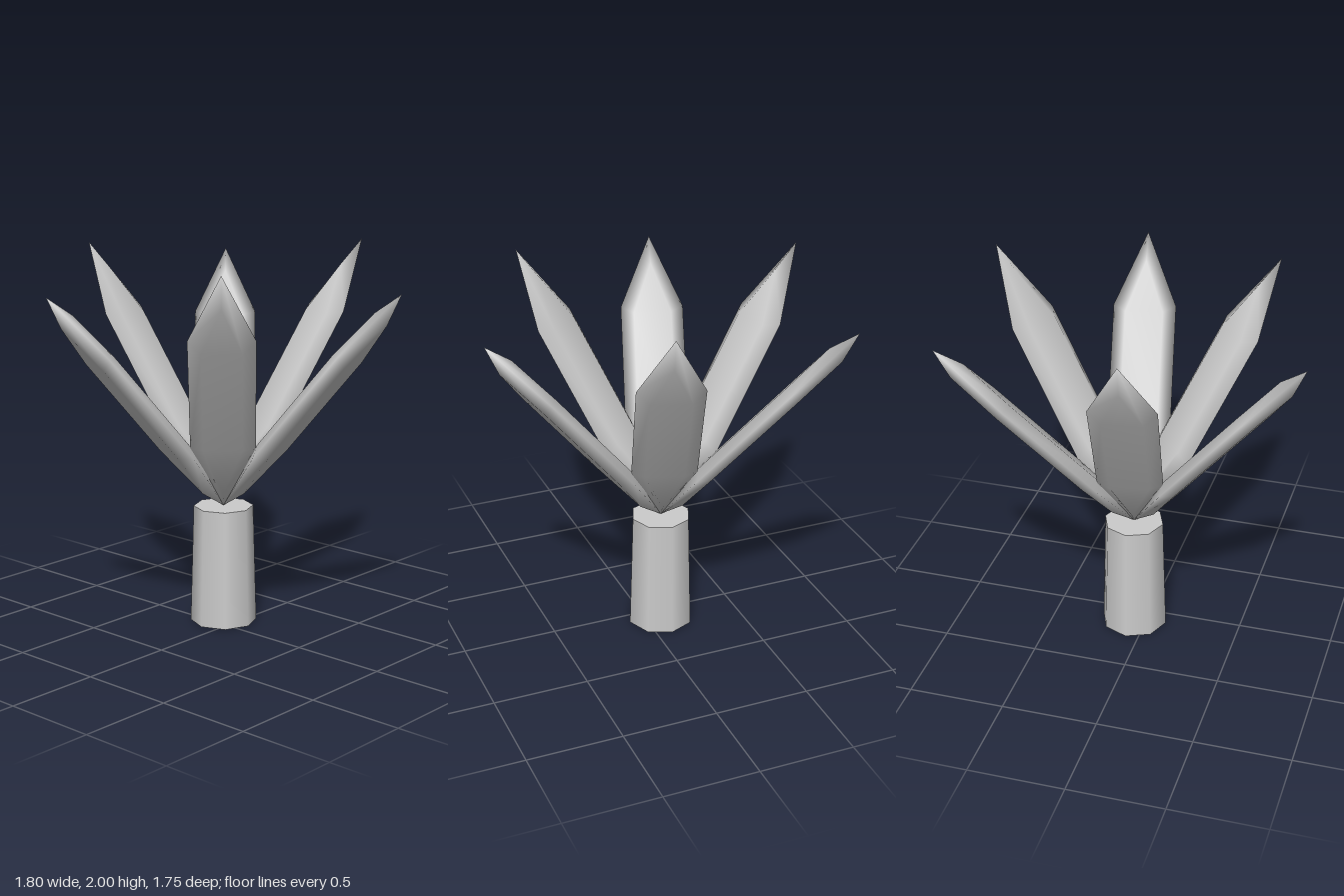
import * as THREE from 'three';

const material = new THREE.MeshStandardMaterial({ color: 0xcccccc, side: THREE.DoubleSide });
const BASE = new THREE.Vector3(-0.085, 0.635, -0.068);

// Tip of each leaf, going round the crown
const TIPS = [
  [-0.77, 1.87, -0.845],
  [0.185, 2.0, -0.875],
  [0.9, 1.84, -0.27],
  [0.465, 1.975, 0.555],
  [-0.4, 1.82, 0.87],
  [-0.905, 1.98, 0.1],
];

// Six-cornered outline: root, right side, tip, left side
const hexagon = (w, root, low, high, tip, z) => [
  [0, root, z], [w, low, z], [w, high, z], [0, tip, z], [-w, high, z], [-w, low, z],
];

// Pillow-shaped leaf along +y: a thin rim with a raised plate on both sides
function leafGeometry(length) {
  const W = 0.168, T = 0.045;
  const rings = [
    hexagon(W, 0, 0.27, 0.74, 1, 0),
    hexagon(W * 0.6, 0.09, 0.29, 0.71, 0.89, T),
    hexagon(W * 0.6, 0.09, 0.29, 0.71, 0.89, -T),
  ];
  const positions = rings.flat().flatMap(([x, y, z]) => [x, y * length, z]);
  const index = [];
  for (const side of [1, 2]) {
    const o = side * 6;
    const tri = (a, b, c) => (side === 1 ? index.push(a, b, c) : index.push(a, c, b));
    // Bevel between rim and plate
    for (let i = 0; i < 6; i++) {
      const j = (i + 1) % 6;
      tri(i, j, o + j);
      tri(i, o + j, o + i);
    }
    // Plate
    tri(o, o + 1, o + 5);
    tri(o + 1, o + 2, o + 4);
    tri(o + 1, o + 4, o + 5);
    tri(o + 2, o + 3, o + 4);
  }
  const g = new THREE.BufferGeometry();
  g.setAttribute('position', new THREE.Float32BufferAttribute(positions, 3));
  g.setIndex(index);
  g.computeVertexNormals();
  return g;
}

export function createModel() {
  const model = new THREE.Group();
  model.name = 'leafyPlant';

  // Tapered stem, open underneath
  const stem = new THREE.Group();
  stem.name = 'stem';
  const wall = new THREE.Mesh(new THREE.CylinderGeometry(0.158, 0.176, 0.635, 8, 1, true), material);
  wall.name = 'stemWall';
  wall.position.y = 0.3175;
  const cap = new THREE.Mesh(new THREE.CircleGeometry(0.158, 8), material);
  cap.name = 'stemTop';
  cap.rotation.x = -Math.PI / 2;
  cap.position.y = 0.635;
  stem.add(wall, cap);
  stem.position.set(BASE.x, 0, BASE.z);
  model.add(stem);

  // Leaves fanning out from the top of the stem
  const leaves = new THREE.Group();
  leaves.name = 'leaves';
  TIPS.forEach((tip, i) => {
    const axis = new THREE.Vector3(...tip).sub(BASE);
    const length = axis.length();
    axis.normalize();
    const inward = new THREE.Vector3(0, 1, 0).addScaledVector(axis, -axis.y).normalize();
    const across = new THREE.Vector3().crossVectors(axis, inward);
    const leaf = new THREE.Mesh(leafGeometry(length), material);
    leaf.name = `leaf${i + 1}`;
    leaf.quaternion.setFromRotationMatrix(new THREE.Matrix4().makeBasis(across, axis, inward));
    leaf.position.copy(BASE);
    leaves.add(leaf);
  });
  model.add(leaves);
  return model;
}
